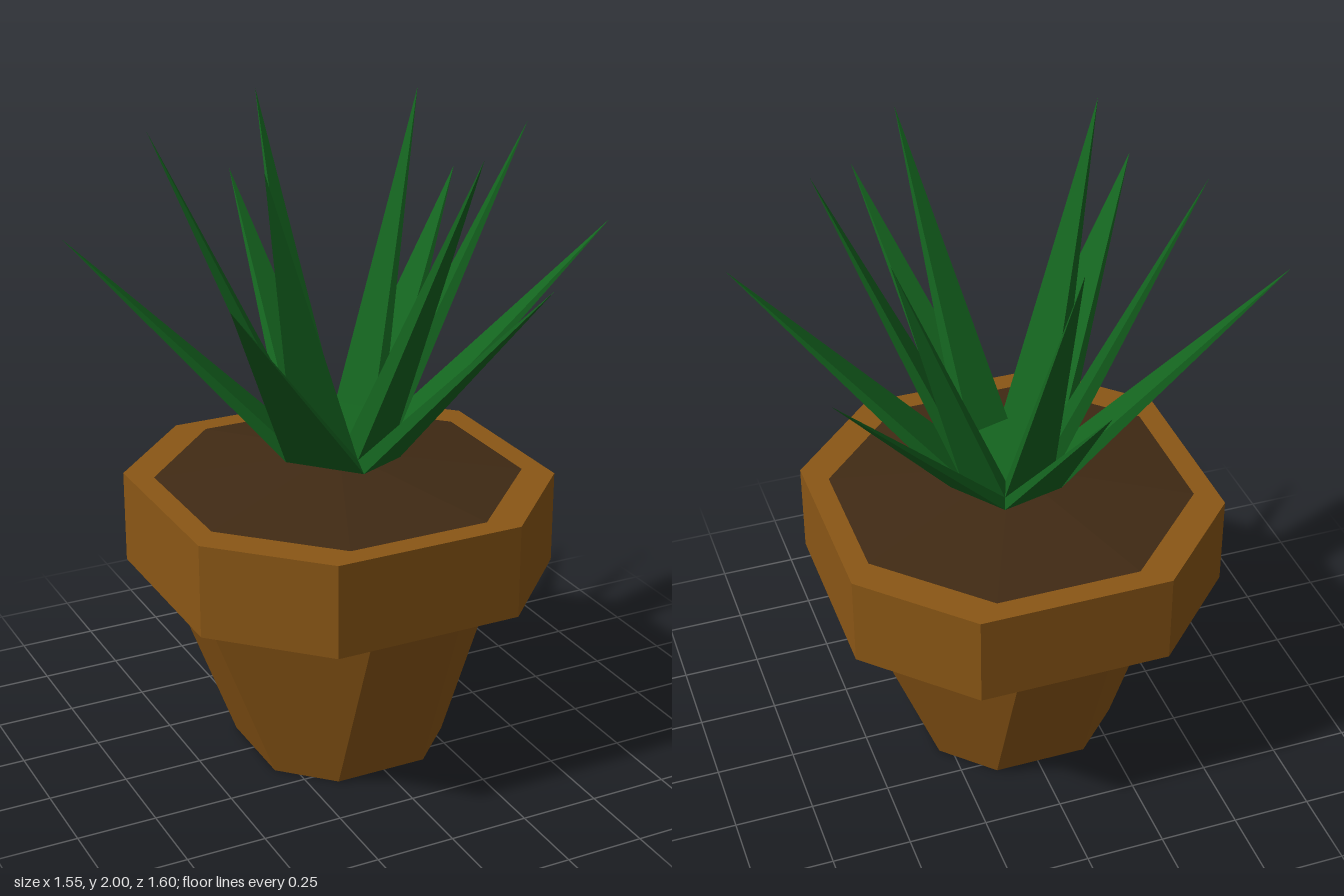
import * as THREE from 'three';

const material = (color) =>
  new THREE.MeshStandardMaterial({ color, flatShading: true, side: THREE.DoubleSide });

// Mesh from a list of triangles, each three [x, y, z] corners
function facets(name, triangles, mat) {
  const geometry = new THREE.BufferGeometry();
  geometry.setAttribute('position', new THREE.Float32BufferAttribute(triangles.flat(2), 3));
  geometry.computeVertexNormals();
  const mesh = new THREE.Mesh(geometry, mat);
  mesh.name = name;
  return mesh;
}

// Eight corners of a chamfered square: half width a, half flat side b
const octagon = (a, b, y) =>
  [[a, b], [b, a], [-b, a], [-a, b], [-a, -b], [-b, -a], [b, -a], [a, -b]].map(([x, z]) => [x, y, z]);

// Walls between two rings, facing outward when the second ring is above
const wall = (low, high) => low.flatMap((a, i) => {
  const j = (i + 1) % low.length;
  return [[a, high[i], high[j]], [a, high[j], low[j]]];
});

// Fan from a ring to a point, facing up or down
const fan = (ring, tip, up) => ring.map((p, i) => {
  const q = ring[(i + 1) % ring.length];
  return up ? [tip, q, p] : [tip, p, q];
});

// Four-sided spike from a quad in outward order to its tip
const spike = (quad, tip) => quad.map((p, i) => [p, quad[(i + 1) % 4], tip]);

export function createModel() {
  const model = new THREE.Group();
  const clay = material(0x8a5615);
  const earth = material(0x402a14);
  const green = material(0x14641f);

  // Pot: tapered body, hollow rim and mounded soil
  const pot = new THREE.Group();
  pot.name = 'pot';
  pot.position.set(-0.01, 0, 0.01);
  const foot = octagon(0.3, 0.15, 0);
  const rimTop = octagon(0.6, 0.3, 0.905);
  const mouth = octagon(0.527, 0.225, 0.905);
  pot.add(
    facets('potBody', [...wall(foot, octagon(0.53, 0.15, 0.61)), ...fan(foot, [0, 0, 0], false)], clay),
    facets('potRim', [...wall(octagon(0.6, 0.3, 0.61), rimTop), ...wall(rimTop, mouth)], clay),
    facets('soil', fan(mouth, [0, 0.985, 0], true), earth)
  );
  model.add(pot);

  // Plant crown: three slightly uneven hexagonal rings
  const ring = (points, y) => points.map(([x, z]) => [x, y, z]);
  const base = ring([[-0.12, -0.15], [0.08, -0.2], [0.2, -0.035], [0.13, 0.15], [-0.03, 0.22], [-0.2, 0.03]], 0.985);
  const middle = ring([[-0.1, -0.13], [0.075, -0.185], [0.17, -0.045], [0.115, 0.13], [-0.035, 0.19], [-0.175, 0.03]], 1.02);
  const crown = ring([[-0.08, -0.115], [0.068, -0.17], [0.145, -0.055], [0.09, 0.1], [-0.047, 0.14], [-0.136, 0.02]], 1.07);

  // Tips above each side of the crown: outer leaves spread, inner leaves stand taller
  const outerTips = ring([[-0.01, -0.8], [0.67, -0.5], [0.775, 0.27], [0.25, 0.8], [-0.61, 0.575], [-0.78, -0.255]], 1.69);
  const innerTips = ring([[-0.01, -0.58], [0.455, -0.365], [0.53, 0.18], [0.175, 0.535], [-0.42, 0.385], [-0.53, -0.195]], 2);

  const plant = new THREE.Group();
  plant.name = 'plant';
  plant.add(facets('crown', [...fan(base, [0, 0.985, 0], false), ...fan(crown, [0, 1.07, 0], true)], green));
  for (let i = 0; i < 6; i++) {
    const j = (i + 1) % 6;
    plant.add(
      facets('outerLeaf', spike([base[i], middle[i], middle[j], base[j]], outerTips[i]), green),
      facets('innerLeaf', spike([middle[i], crown[i], crown[j], middle[j]], innerTips[i]), green)
    );
  }
  model.add(plant);
  return model;
}
